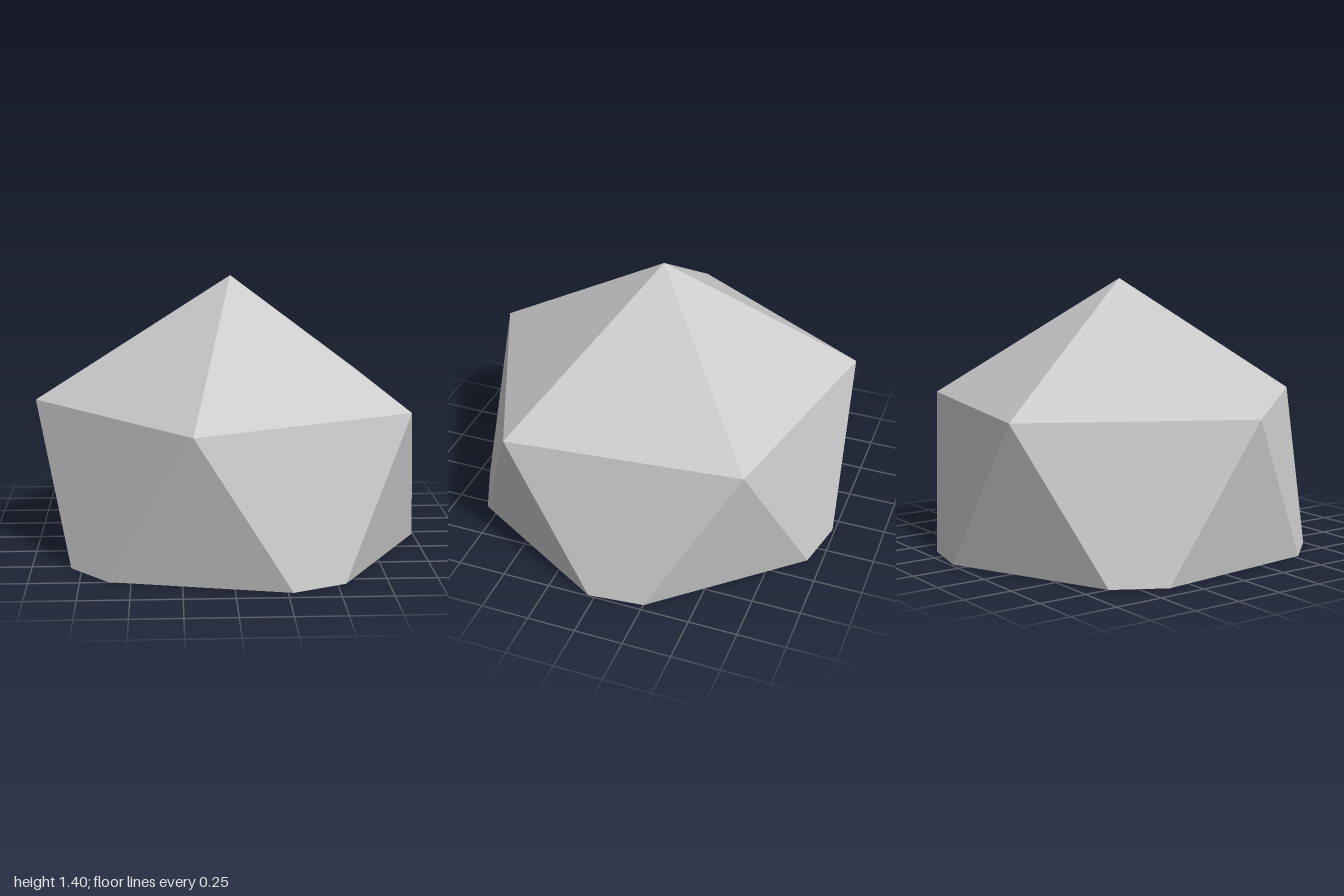
import * as THREE from 'three';
import { ConvexGeometry } from 'three/addons/geometries/ConvexGeometry.js';

export function createModel() {
  const group = new THREE.Group();
  group.name = 'facetedDome';

  const stone = new THREE.MeshStandardMaterial({ color: 0xcccccc });
  stone.name = 'light grey';

  // Regular icosahedron standing on a vertex, cut flat below its middle
  const R = 1.137, apexY = 1.4, cx = 0.015, cz = -0.009;
  const ringR = R * 2 / Math.sqrt(5);
  const upperY = apexY - R + R / Math.sqrt(5);
  const lowerY = apexY - R - R / Math.sqrt(5);
  const ringPoint = (step, y) => {
    const a = THREE.MathUtils.degToRad(-12.1 + 36 * step);
    return new THREE.Vector3(cx + ringR * Math.sin(a), y, cz + ringR * Math.cos(a));
  };

  const points = [new THREE.Vector3(cx, apexY, cz)];
  const cut = upperY / (upperY - lowerY);
  for (let i = 0; i < 5; i++) {
    const upper = ringPoint(2 * i, upperY);
    points.push(upper);
    // Both slanting edges from this corner end on the ground
    for (const side of [-1, 1]) {
      const foot = upper.clone().lerp(ringPoint(2 * i + side, lowerY), cut);
      foot.y = 0;
      points.push(foot);
    }
  }

  const dome = new THREE.Mesh(new ConvexGeometry(points), stone);
  dome.name = 'dome';
  group.add(dome);
  return group;
}
